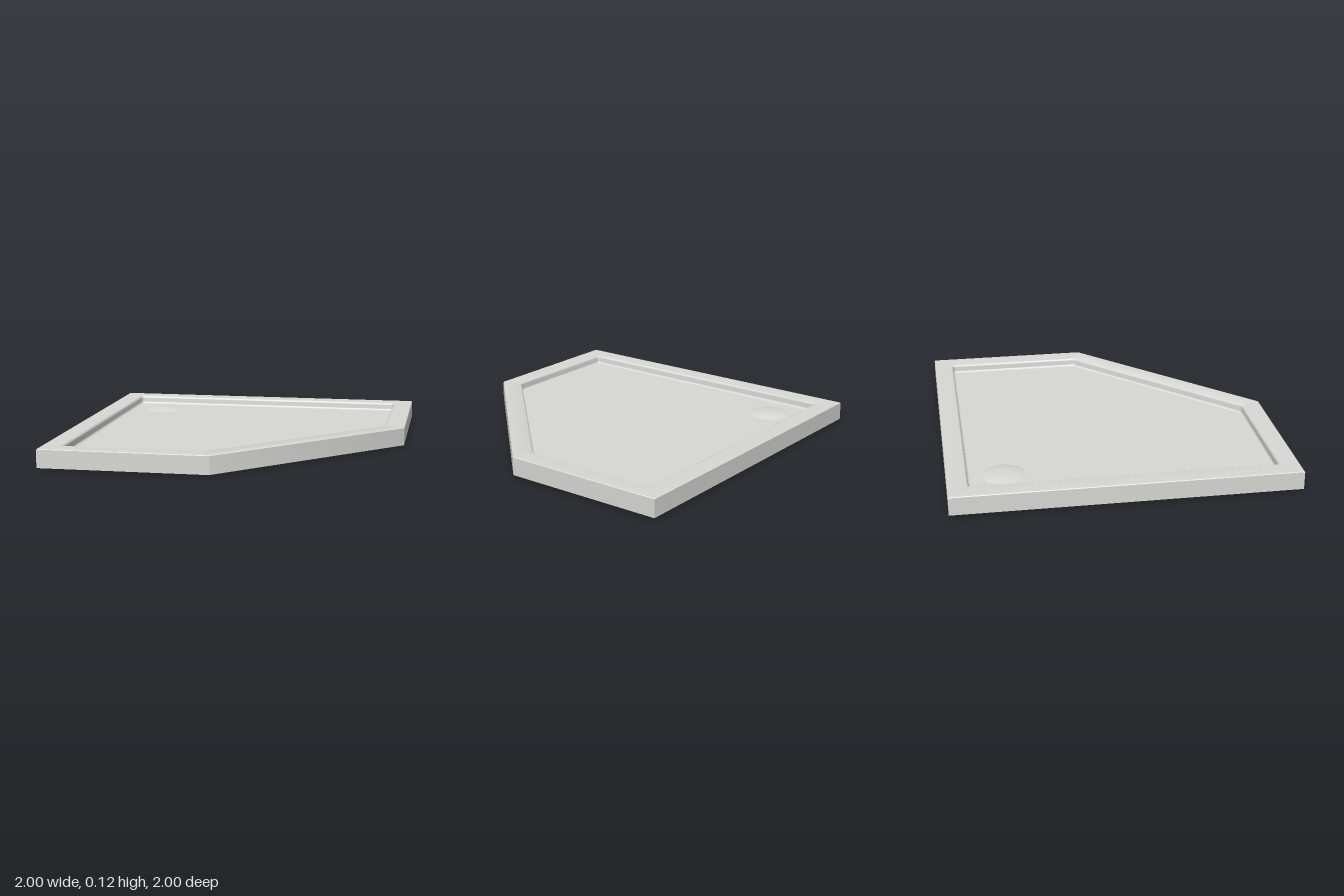
import * as THREE from 'three';
import { toCreasedNormals } from 'three/addons/utils/BufferGeometryUtils.js';

const BASE = 0.01, TOP = 0.12, FLOOR = 0.07;
// Tray outline in (x, z): a square with its front left corner cut off
const OUTLINE = [[-1, -1], [1, -1], [1, -0.01], [-0.01, 1], [-1, 1]].map(([x, z]) => new THREE.Vector2(x, z));
const STEPS = 6;

// Outline moved inward by inset, with softened corners
function ring(inset, corner) {
  const n = OUTLINE.length;
  const normal = (a, b) => { const e = b.clone().sub(a).normalize(); return new THREE.Vector2(-e.y, e.x); };
  const pts = OUTLINE.map((p, i) => {
    const n1 = normal(OUTLINE[(i + n - 1) % n], p), n2 = normal(p, OUTLINE[(i + 1) % n]);
    return p.clone().addScaledVector(n1.clone().add(n2), inset / (1 + n1.dot(n2)));
  });
  return pts.flatMap((p, i) => {
    const toward = (q) => p.clone().add(q.clone().sub(p).setLength(corner));
    return new THREE.QuadraticBezierCurve(toward(pts[(i + n - 1) % n]), p, toward(pts[(i + 1) % n])).getPoints(STEPS);
  });
}

// Skin through rings given as [inset, height, corner size]
function loft(profile) {
  const rings = profile.map(([inset, y, c]) => ring(inset, c).map((p) => [p.x, y, p.y]));
  const count = rings[0].length, index = [];
  for (let j = 0; j < rings.length - 1; j++) {
    for (let i = 0; i < count; i++) {
      const a = j * count + i, b = j * count + (i + 1) % count;
      index.push(a, b + count, b, a, a + count, b + count);
    }
  }
  const g = new THREE.BufferGeometry();
  g.setAttribute('position', new THREE.Float32BufferAttribute(rings.flat(2), 3));
  g.setIndex(index);
  return toCreasedNormals(g, 0.6);
}

export function createModel() {
  const group = new THREE.Group();
  const white = new THREE.MeshStandardMaterial({ color: 0xd8d8d5, side: THREE.DoubleSide });
  white.name = 'trayWhite';
  const dark = new THREE.MeshStandardMaterial({ color: 0x303030 });
  dark.name = 'outletDark';
  const add = (name, geometry, material, x = 0, y = 0, z = 0) => {
    const mesh = new THREE.Mesh(geometry, material);
    mesh.name = name;
    mesh.position.set(x, y, z);
    group.add(mesh);
  };

  // Outer wall, rim and the step down to the floor, with small fillets
  const r = 0.012, profile = [[0, BASE, 0.001], [0, TOP - 0.004, 0.001], [0.004, TOP, 0.001]];
  for (let i = 0; i <= 5; i++) {
    const t = (i / 5) * Math.PI / 2;
    profile.push([0.108 + r * Math.sin(t), TOP - r + r * Math.cos(t), 0.02]);
  }
  for (let i = 0; i <= 5; i++) {
    const t = (i / 5) * Math.PI / 2;
    profile.push([0.12 + r * (1 - Math.cos(t)), FLOOR + r * (1 - Math.sin(t)), 0.02]);
  }
  add('trayRim', loft(profile), white);

  // Tray floor
  const floorEdge = ring(0.12 + r, 0.02).map((p) => new THREE.Vector2(p.x, -p.y));
  add('trayFloor', new THREE.ShapeGeometry(new THREE.Shape(floorEdge)).rotateX(-Math.PI / 2), white, 0, FLOOR);

  // Domed drain cover
  const cover = 0.125, rise = 0.016, R = (cover * cover + rise * rise) / (2 * rise);
  const dome = new THREE.SphereGeometry(R, 48, 8, 0, Math.PI * 2, 0, Math.asin(cover / R));
  add('drainCover', dome, white, -0.67, FLOOR + rise - R, -0.67);

  // Underside with a round recess
  const under = new THREE.Shape(ring(0, 0.001));
  under.holes.push(new THREE.Path().absarc(0.67, -0.67, 0.12, 0, Math.PI * 2, true));
  add('underside', new THREE.ShapeGeometry(under, 24).rotateX(Math.PI / 2), white, 0, BASE);
  const depth = 0.035;
  add('recessWall', new THREE.CylinderGeometry(0.12, 0.12, depth, 48, 1, true), white, 0.67, BASE + depth / 2, -0.67);
  add('recessCeiling', new THREE.CircleGeometry(0.12, 48).rotateX(Math.PI / 2), white, 0.67, BASE + depth, -0.67);

  // Waste outlet below the drain
  add('wasteOutlet', new THREE.CircleGeometry(0.08, 40).rotateX(Math.PI / 2), dark, -0.67, 0, -0.67);
  return group;
}
